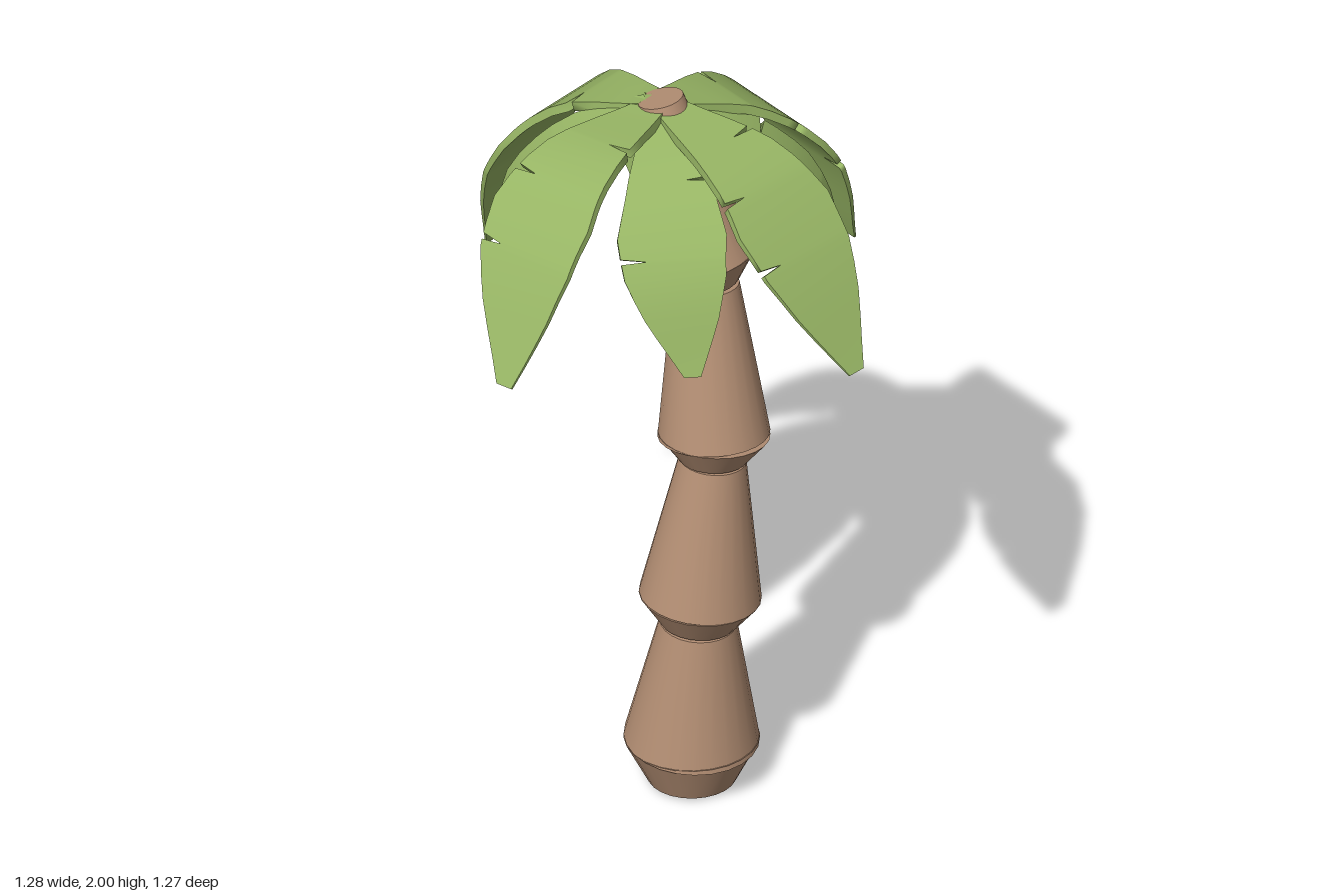
import * as THREE from 'three';

const V = (x, y, z) => new THREE.Vector3(x, y, z);

// Cone section running from one point to another
function taper(a, b, r0, r1, material, name) {
  const axis = b.clone().sub(a);
  const mesh = new THREE.Mesh(new THREE.CylinderGeometry(r1, r0, axis.length(), 24), material);
  mesh.position.copy(a).add(b).multiplyScalar(0.5);
  mesh.quaternion.setFromUnitVectors(V(0, 1, 0), axis.normalize());
  mesh.name = name;
  return mesh;
}

// Half width of a leaf along its length
const WIDTHS = [[0, 0.045], [0.28, 0.117], [0.5, 0.16], [0.65, 0.148], [0.8, 0.105], [1, 0.025]];
function halfWidth(t) {
  const i = Math.max(1, WIDTHS.findIndex(w => w[0] >= t));
  const [t0, w0] = WIDTHS[i - 1], [t1, w1] = WIDTHS[i];
  return w0 + (w1 - w0) * (t - t0) / (t1 - t0);
}

// Curved leaf blade from the hub through knee and bend to the tip;
// notches are [position, side] slits cut into the rim
function frondGeometry(hub, knee, bend, tip, notches, scale, roll) {
  const dir = knee.clone().sub(hub).setY(0).normalize();
  const root = hub.clone().addScaledVector(dir, 0.03);
  const curve = new THREE.CatmullRomCurve3([root, knee, bend, tip]);
  const side = V(0, 1, 0).cross(dir).setY(roll).normalize();

  const stations = [];
  for (let i = 0; i <= 14; i++) {
    const t = i / 14;
    if (notches.every(n => Math.abs(n[0] - t) > 0.02)) stations.push({ t, cut: 0 });
  }
  for (const [t, s] of notches) {
    stations.push({ t: t - 0.012, cut: 0 }, { t, cut: s }, { t: t + 0.006, cut: 0 });
  }
  stations.sort((a, b) => a.t - b.t);

  // Four corners for each cross-section, in order around the blade
  const rings = stations.map(({ t, cut }) => {
    const c = curve.getPointAt(t);
    const n = curve.getTangentAt(t).cross(side).normalize();
    const w = halfWidth(t) * scale;
    const plus = w - (cut > 0 ? 0.065 : 0), minus = w - (cut < 0 ? 0.065 : 0);
    const h = 0.012 * (1 - t) + 0.003;
    const at = (s, k) => c.clone().addScaledVector(side, s).addScaledVector(n, k);
    return [at(-minus, h), at(plus, h), at(plus, -h), at(-minus, -h)];
  });

  const pos = [], index = [];
  for (let f = 0; f < 4; f++) {
    const base = pos.length / 3;
    rings.forEach((r, i) => {
      pos.push(...r[f].toArray(), ...r[(f + 1) % 4].toArray());
      if (i === 0) return;
      const a = base + 2 * i - 2;
      index.push(a, a + 2, a + 1, a + 1, a + 2, a + 3);
    });
  }
  // Blunt tip
  const end = pos.length / 3;
  rings[rings.length - 1].forEach(p => pos.push(...p.toArray()));
  index.push(end, end + 2, end + 1, end, end + 3, end + 2);

  const g = new THREE.BufferGeometry();
  g.setAttribute('position', new THREE.Float32BufferAttribute(pos, 3));
  g.setIndex(index);
  g.computeVertexNormals();
  return g;
}

export function createModel() {
  const bark = new THREE.MeshStandardMaterial({ color: 0xb48f74 });
  bark.name = 'bark brown';
  const leaf = new THREE.MeshStandardMaterial({ color: 0x98b665 });
  leaf.name = 'leaf green';
  const model = new THREE.Group();
  model.name = 'palmTree';

  // Trunk: four stacked sections, each flaring out and then tapering
  const trunk = new THREE.Group();
  trunk.name = 'trunk';
  let below = null, radius = 0;
  const joint = (x, y, z, r, name) => {
    const here = V(x, y, z);
    if (below) trunk.add(taper(below, here, radius, r, bark, name));
    below = here;
    radius = r;
  };
  joint(0.008, 0, 0.08, 0.115);
  joint(0.01, 0.12, 0.077, 0.175, 'trunkFlare');
  joint(0.01, 0.485, 0.1, 0.1, 'trunkSection');
  joint(0.015, 0.565, 0.102, 0.158, 'trunkFlare');
  joint(0.05, 0.97, 0.113, 0.087, 'trunkSection');
  joint(0.058, 1.043, 0.11, 0.145, 'trunkFlare');
  joint(0.088, 1.465, 0.055, 0.086, 'trunkSection');
  joint(0.086, 1.54, 0.036, 0.145, 'trunkFlare');
  joint(0.062, 1.985, -0.08, 0.06, 'trunkSection');
  model.add(trunk);

  const hub = V(0.06, 1.962, -0.08);
  const frond = (name, knee, bend, tip, notches, scale, roll = 0) => {
    const mesh = new THREE.Mesh(frondGeometry(hub, knee, bend, tip, notches, scale, roll), leaf);
    mesh.name = name;
    model.add(mesh);
  };

  // Four long fronds
  const long = [[0.22, 1], [0.4, -1], [0.62, -1]];
  frond('frontFrond', V(0.05, 1.915, 0.24), V(0.042, 1.76, 0.43), V(0.03, 1.48, 0.632), long, 1);
  frond('backFrond', V(0.055, 1.89, -0.34), V(0.047, 1.67, -0.52), V(0.025, 1.32, -0.632), long, 1);
  frond('rightFrond', V(-0.27, 1.935, -0.08), V(-0.45, 1.79, -0.06), V(-0.635, 1.485, 0.02), long, 1.02, 0.1);
  frond('leftFrond', V(0.3, 1.895, -0.05), V(0.495, 1.71, -0.02), V(0.632, 1.35, 0.05), long, 1.02);

  // Four steeper fronds between them
  const steep = [[0.3, 1], [0.58, -1]];
  frond('frontRightFrond', V(-0.1, 1.88, 0.1), V(-0.21, 1.72, 0.22), V(-0.25, 1.46, 0.32), steep, 0.88);
  frond('frontLeftFrond', V(0.2, 1.87, 0.1), V(0.31, 1.67, 0.24), V(0.335, 1.355, 0.32), steep, 0.9);
  frond('backRightFrond', V(-0.12, 1.87, -0.23), V(-0.24, 1.67, -0.32), V(-0.28, 1.28, -0.27), steep, 0.86);
  frond('backLeftFrond', V(0.22, 1.86, -0.21), V(0.32, 1.65, -0.28), V(0.315, 1.27, -0.215), steep, 0.86);
  return model;
}
